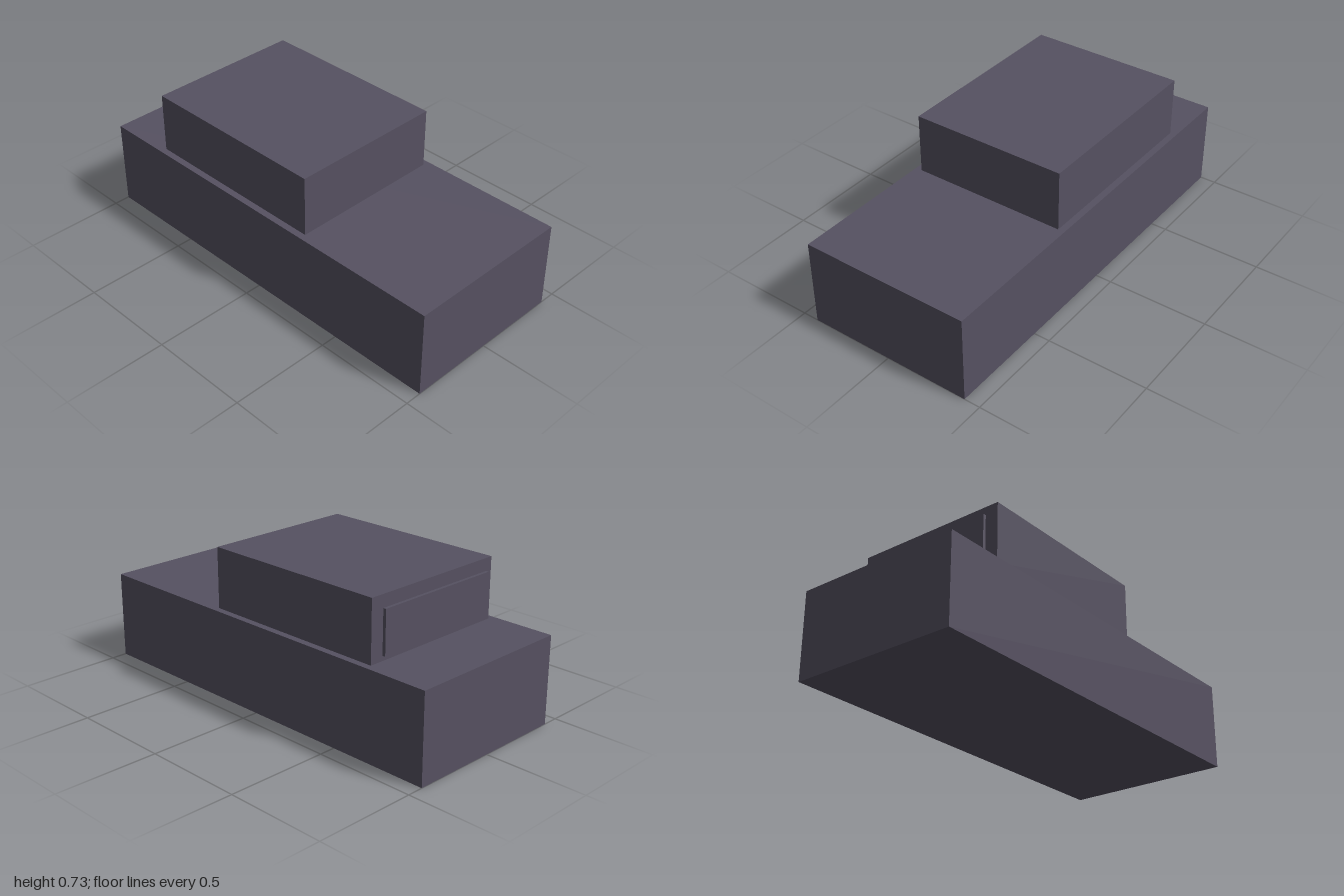
import * as THREE from 'three';

export function createModel() {
  const group = new THREE.Group();
  const paint = new THREE.MeshStandardMaterial({ color: 0x565161 });
  paint.name = 'dark slate paint';

  // Box from its x and y extents and its depth, centred on z = 0
  function addBox(name, x0, x1, y0, y1, depth) {
    const mesh = new THREE.Mesh(new THREE.BoxGeometry(x1 - x0, y1 - y0, depth), paint);
    mesh.position.set((x0 + x1) / 2, (y0 + y1) / 2, 0);
    mesh.name = name;
    group.add(mesh);
  }

  addBox('body', -1, 1, 0, 0.43, 0.842);
  addBox('cabin', -0.68, 0.28, 0.43, 0.726, 0.776);
  // Thin upright pane standing just clear of the cabin end
  addBox('windowPane', -0.71, -0.695, 0.463, 0.673, 0.67);

  return group;
}
